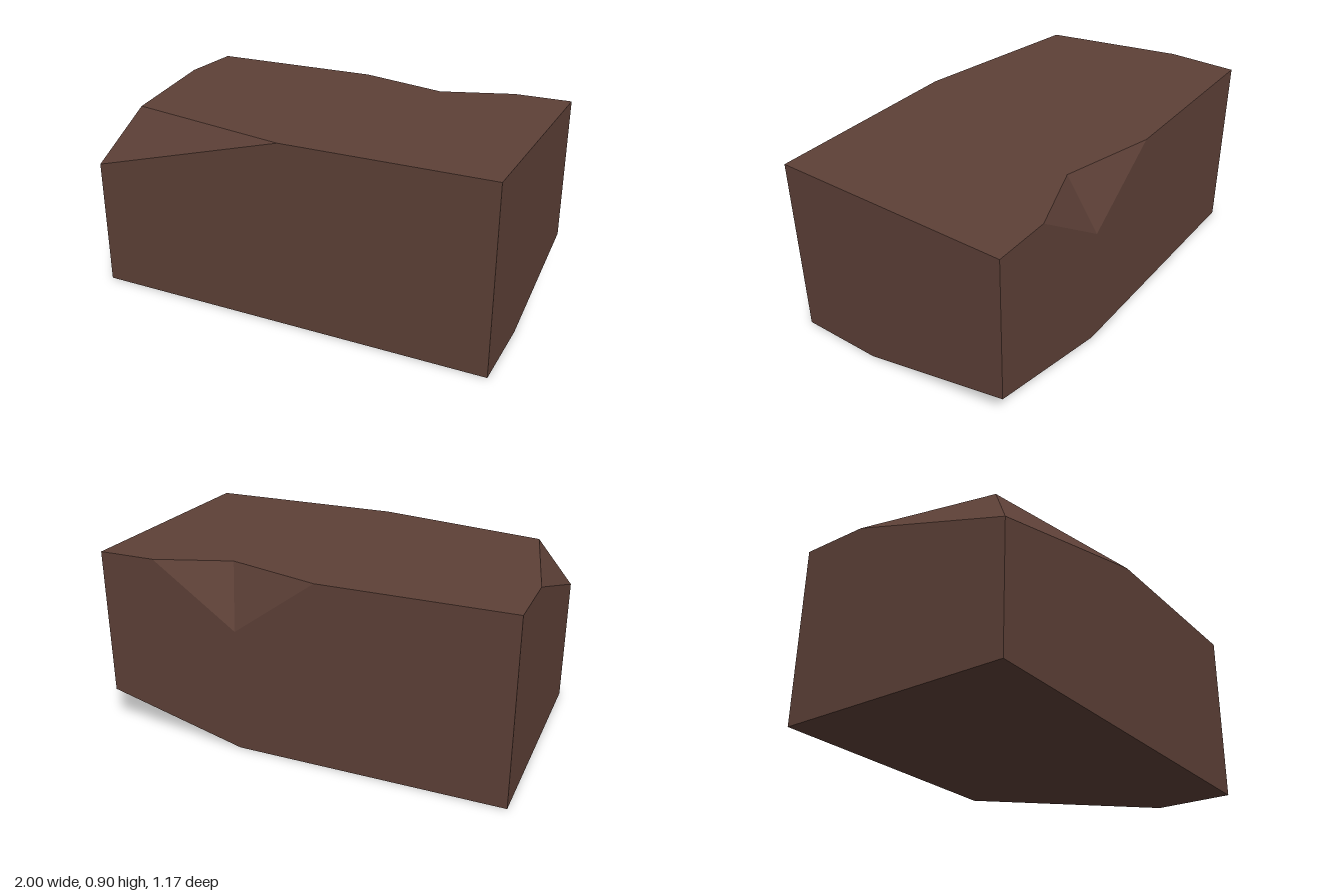
import * as THREE from 'three';

const W = 1, H = 0.897, D = 0.583;

// Corners of the block
const p = {
  frontBottomL: [W, 0, D], frontBottomR: [-W, 0, D], backBottomR: [-W, 0, -D],
  frontTopL: [W, H, D], backTopL: [W, H, -D], backTopR: [-W, H, -D],
  // chipped front top corner
  chipFront: [0, H, D], chipLow: [-W, 0.627, D], chipInner: [-0.85, H, 0.417], chipSide: [-W, H, -0.242],
  // notch in the back top edge
  notchA: [-0.1, H, -D], notchInner: [0.36, H, -0.458], notchB: [0.715, H, -D], notchLow: [0.3, 0.605, -D],
  // cut back bottom corner
  cutSide: [W, 0, 0.175], cutHigh: [W, 0.175, -D], cutBack: [0.302, 0, -D],
};

// Each group of faces: an outline, with the axis to flatten for triangulation
const parts = {
  blockSides: [
    ['z', 'frontBottomR frontBottomL frontTopL chipFront chipLow'],
    ['z', 'cutBack cutHigh backTopL notchB notchLow notchA backTopR backBottomR'],
    ['x', 'frontBottomL cutSide cutHigh backTopL frontTopL'],
    ['x', 'frontBottomR chipLow chipSide backTopR backBottomR'],
    ['y', 'frontBottomR frontBottomL cutSide cutBack backBottomR'],
    ['y', 'chipFront frontTopL backTopL notchB notchInner notchA backTopR chipSide chipInner'],
  ],
  cornerChip: [
    ['y', 'chipFront chipInner chipLow'],
    ['y', 'chipInner chipSide chipLow'],
  ],
  edgeNotch: [
    ['y', 'notchA notchInner notchLow'],
    ['y', 'notchB notchInner notchLow'],
  ],
  bottomCut: [['y', 'cutSide cutHigh cutBack']],
};

// Triangulates the outlines and turns every triangle away from the block's centre
function facets(faces) {
  const positions = [];
  const center = new THREE.Vector3(0, H / 2, 0);
  for (const [axis, names] of faces) {
    const pts = names.split(' ').map((n) => new THREE.Vector3(...p[n]));
    const [u, v] = ['x', 'y', 'z'].filter((a) => a !== axis);
    const flat = pts.map((q) => new THREE.Vector2(q[u], q[v]));
    for (const tri of THREE.ShapeUtils.triangulateShape(flat, [])) {
      const [a, b, c] = tri.map((i) => pts[i]);
      const normal = b.clone().sub(a).cross(c.clone().sub(a));
      const ordered = normal.dot(a.clone().sub(center)) > 0 ? [a, b, c] : [a, c, b];
      for (const q of ordered) positions.push(q.x, q.y, q.z);
    }
  }
  const geometry = new THREE.BufferGeometry();
  geometry.setAttribute('position', new THREE.Float32BufferAttribute(positions, 3));
  geometry.computeVertexNormals();
  return geometry;
}

export function createModel() {
  const group = new THREE.Group();
  group.name = 'chippedBlock';
  const brown = new THREE.MeshStandardMaterial({ color: 0x5d4037 });
  brown.name = 'brown';
  for (const [name, faces] of Object.entries(parts)) {
    const mesh = new THREE.Mesh(facets(faces), brown);
    mesh.name = name;
    group.add(mesh);
  }
  return group;
}
